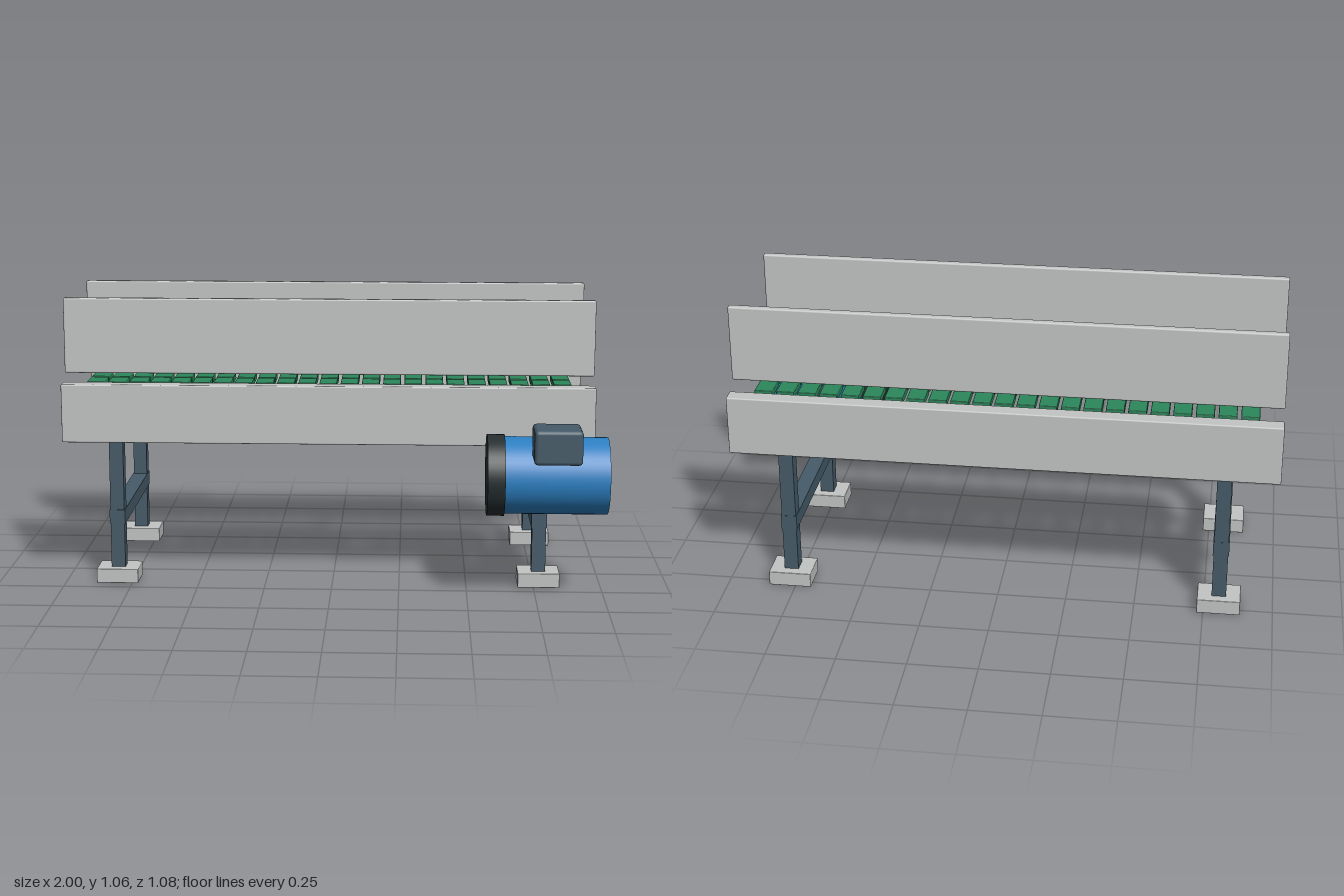
import * as THREE from 'three';
import { RoundedBoxGeometry } from 'three/addons/geometries/RoundedBoxGeometry.js';

const mat = (name, color) => {
  const m = new THREE.MeshStandardMaterial({ color });
  m.name = name;
  return m;
};

export function createModel() {
  const steel = mat('light steel', 0xc2c5c4);
  const frame = mat('dark slate frame', 0x465b69);
  const green = mat('belt green', 0x2b875b);
  const blue = mat('motor blue', 0x2c7fc1);
  const black = mat('flange black', 0x262e30);

  const model = new THREE.Group();
  model.name = 'conveyor';

  const add = (name, geometry, material, x, y, z) => {
    const mesh = new THREE.Mesh(geometry, material);
    mesh.name = name;
    mesh.position.set(x, y, z);
    model.add(mesh);
    return mesh;
  };

  // Box given by its extents, optionally with softened edges
  const box = (name, material, [x0, x1], [y0, y1], [z0, z1], bevel = 0) => {
    const size = [x1 - x0, y1 - y0, z1 - z0];
    const geometry = bevel
      ? new RoundedBoxGeometry(...size, 2, bevel)
      : new THREE.BoxGeometry(...size);
    return add(name, geometry, material, (x0 + x1) / 2, (y0 + y1) / 2, (z0 + z1) / 2);
  };

  // Side rails and the taller guide walls above the belt
  const length = [-1, 0.965];
  for (const z of [[0.14, 0.2], [-0.538, -0.478]]) box('sideRail', steel, length, [0.538, 0.756], z, 0.005);
  for (const z of [[0.079, 0.106], [-0.441, -0.414]]) box('guideWall', steel, length, [0.783, 1.064], z, 0.006);

  // Two H-shaped stands with block feet
  for (const x of [-0.805, 0.769]) {
    for (const z of [0.14, -0.475]) {
      box('leg', frame, [x - 0.026, x + 0.026], [0, 0.551], [z - 0.027, z + 0.027]);
      box('foot', steel, [x - 0.078, x + 0.078], [0.001, 0.055], [z - 0.062, z + 0.062], 0.003);
    }
    box('crossBar', frame, [x - 0.029, x + 0.029], [0.222, 0.276], [-0.503, 0.169]);
  }

  // Four rows of belt links forming two parallel chains
  const linkGeometry = new RoundedBoxGeometry(0.065, 0.026, 0.105, 1, 0.003);
  for (const z of [0.068, -0.049, -0.286, -0.404]) {
    for (let i = 0; i < 23; i++) add('beltLink', linkGeometry, green, -0.883 + i * 0.0787, 0.741, z);
  }

  // Drive motor: body, end flange and terminal box
  const drum = (name, material, x0, x1, radius) => {
    const geometry = new THREE.CylinderGeometry(radius, radius, x1 - x0, 48).rotateZ(Math.PI / 2);
    return add(name, geometry, material, (x0 + x1) / 2, 0.458, 0.32);
  };
  drum('motorBody', blue, 0.6, 1, 0.14);
  drum('motorFlange', black, 0.565, 0.628, 0.148);
  box('terminalBox', frame, [0.723, 0.893], [0.539, 0.663], [0.384, 0.538], 0.014);

  return model;
}
